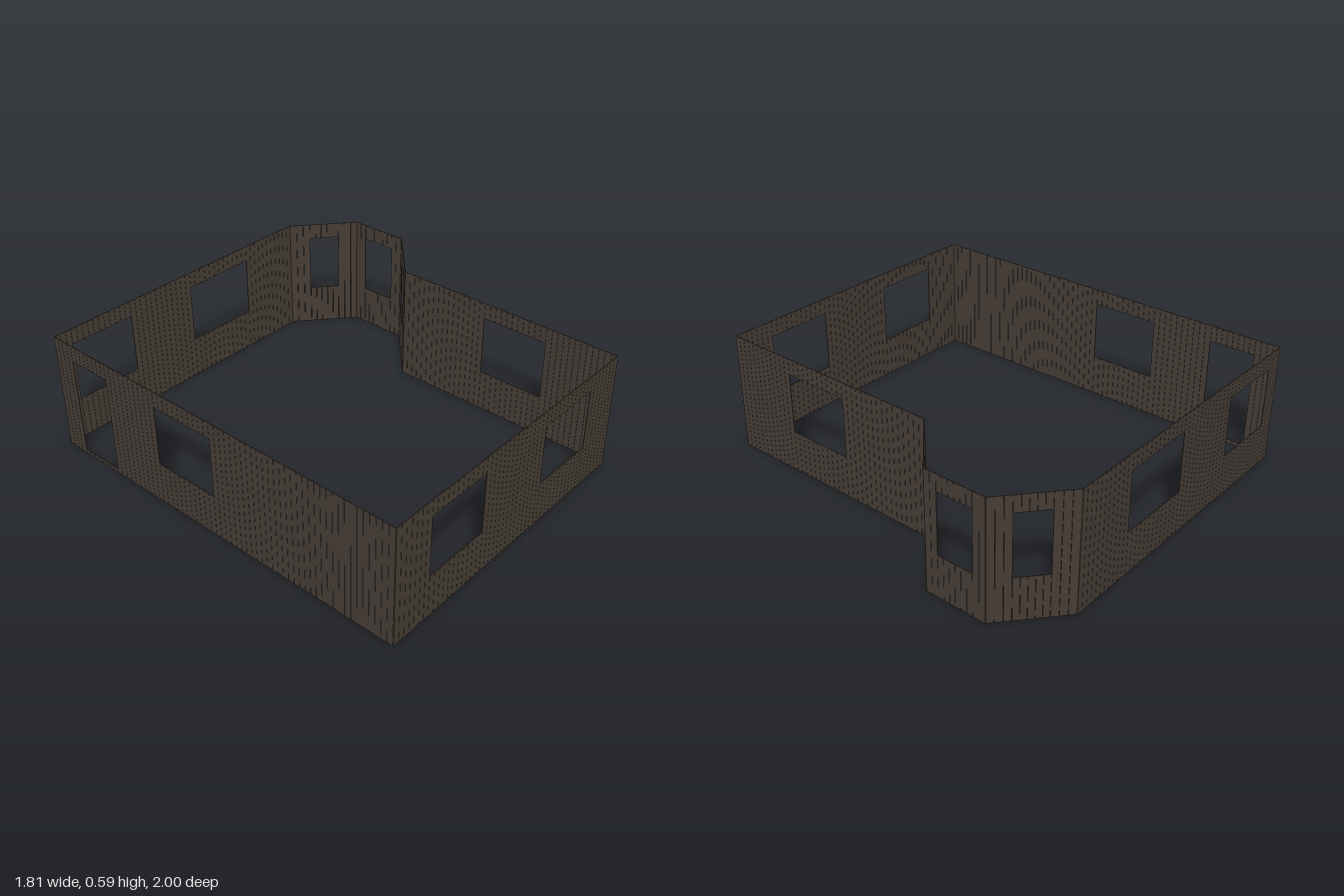
import * as THREE from 'three';
import { mergeGeometries } from 'three/addons/utils/BufferGeometryUtils.js';

const HEIGHT = 0.59, THICK = 0.004, PITCH = 0.031, GAP = 0.0014;
const SILL = 0.21, HEAD = 0.51, DOOR_SILL = 0.02;
const wood = new THREE.MeshStandardMaterial({ color: 0x453c34, roughness: 0.9 });

// One upright board in wall space: x along the wall, y up
function board(x0, x1, y0, y1) {
  return new THREE.BoxGeometry(x1 - x0, y1 - y0, THICK)
    .translate((x0 + x1) / 2, (y0 + y1) / 2, 0);
}

// Wall of narrow boards from a to b ([x, z]); openings are [start, end, sill] along it
function plankWall(name, a, b, openings = []) {
  const dx = b[0] - a[0], dz = b[1] - a[1], length = Math.hypot(dx, dz);
  const edges = [0, ...openings.flatMap(o => [o[0], o[1]]), length];
  const boards = [];
  for (let s = 0; s < edges.length - 1; s++) {
    const start = edges[s], span = edges[s + 1] - start;
    const count = Math.max(1, Math.round(span / PITCH));
    const opening = s % 2 ? openings[(s - 1) / 2] : null;
    for (let i = 0; i < count; i++) {
      const x0 = start + span * i / count + GAP / 2;
      const x1 = start + span * (i + 1) / count - GAP / 2;
      if (opening) {
        boards.push(board(x0, x1, 0, opening[2]), board(x0, x1, HEAD, HEIGHT));
      } else {
        boards.push(board(x0, x1, 0, HEIGHT));
      }
    }
  }
  const wall = new THREE.Mesh(mergeGeometries(boards), wood);
  wall.name = name;
  wall.position.set(a[0], 0, a[1]);
  wall.rotation.y = Math.atan2(-dz, dx);
  return wall;
}

export function createModel() {
  const house = new THREE.Group();
  house.name = 'houseWalls';
  const W = -0.903, E = 0.628, BAY = 0.903, N = -0.998, S = 0.998;
  const bayFront = -0.45, bayBack = -0.76, bayStart = -0.2;

  // Long walls, with openings measured from each wall's start
  house.add(
    plankWall('frontWall', [W, S], [E, S], [[0.213, 0.556, SILL], [0.976, 1.319, SILL]]),
    plankWall('backWall', [W, N], [E, N], [[0.09, 0.433, SILL], [0.813, 1.199, SILL]]),
    plankWall('rightWallWithDoor', [W, N], [W, S], [[0.121, 0.354, DOOR_SILL], [0.673, 1.016, SILL]]),
    plankWall('leftWall', [E, S], [E, bayStart], [[0.366, 0.71, SILL]]),
  );

  // Three-sided bay
  house.add(
    plankWall('bayFrontWall', [E, bayStart], [BAY, bayFront], [[0.11, 0.267, SILL]]),
    plankWall('bayMiddleWall', [BAY, bayFront], [BAY, bayBack], [[0.065, 0.245, SILL]]),
    plankWall('bayBackWall', [E, N], [BAY, bayBack], [[0.108, 0.261, SILL]]),
  );
  return house;
}
